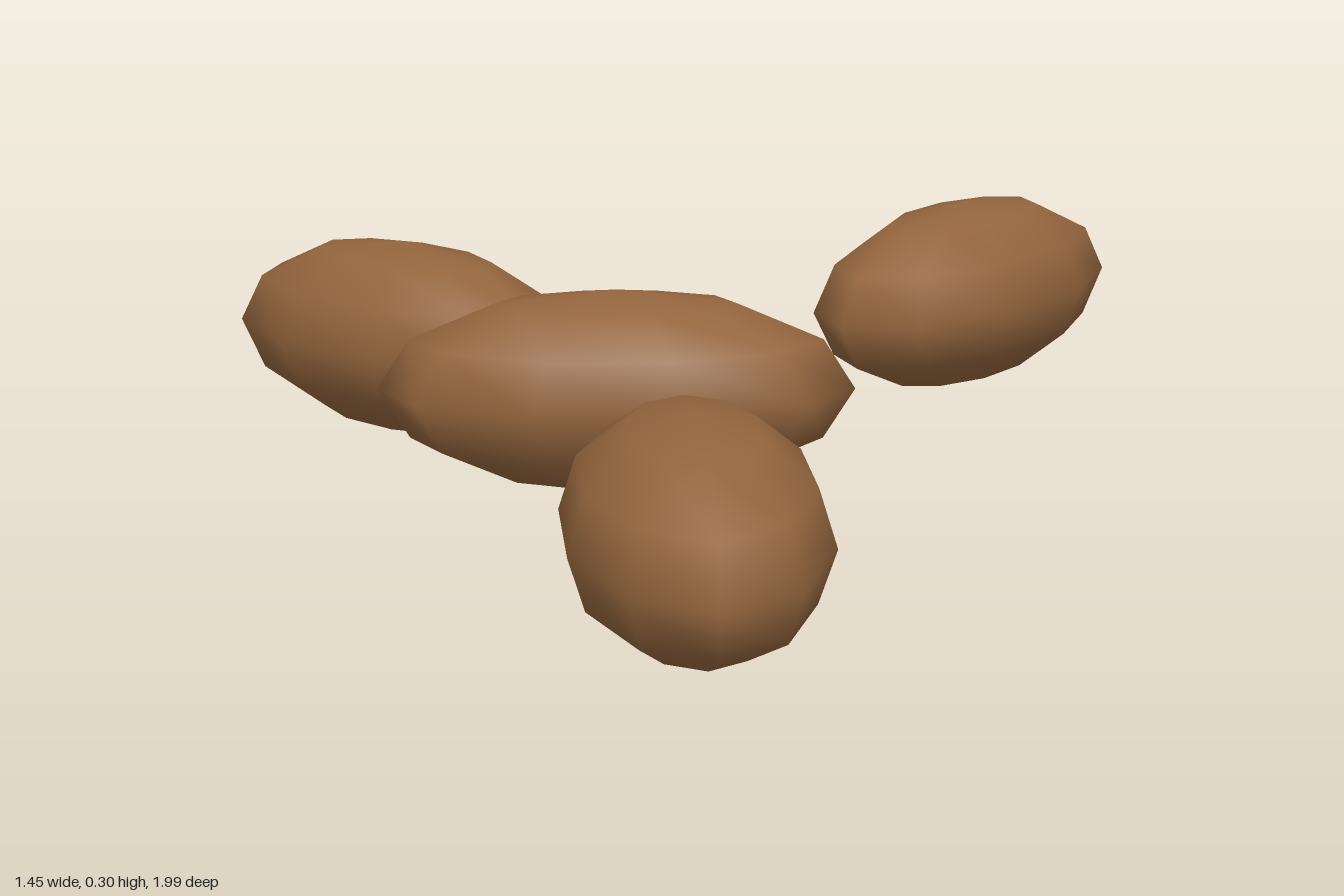
import * as THREE from 'three';

// Each nugget: centre [x, z] and two half-axis vectors of its oval plan, [x, z]
const NUGGETS = [
  { name: 'frontNugget', centre: [-0.002, 0.65], p: [0.029, 0.344], q: [0.178, -0.018] },
  { name: 'middleNugget', centre: [-0.113, -0.055], p: [0.357, 0.002], q: [0.011, -0.17] },
  { name: 'rightNugget', centre: [-0.452, -0.395], p: [-0.278, -0.115], q: [0.047, 0.224] },
  { name: 'backLeftNugget', centre: [0.464, -0.712], p: [0.26, -0.17], q: [0.018, -0.248] },
];
const CENTRE_Y = 0.157;
const HALF_HEIGHT = 0.152;

export function createModel() {
  const group = new THREE.Group();
  group.name = 'nuggets';
  const brown = new THREE.MeshStandardMaterial({ color: 0x93653d });
  brown.name = 'brown';

  for (const { name, centre, p, q } of NUGGETS) {
    // Low-poly ball stretched onto the oval plan
    const stretch = new THREE.Matrix4().makeBasis(
      new THREE.Vector3(-p[0], 0, -p[1]),
      new THREE.Vector3(0, HALF_HEIGHT, 0),
      new THREE.Vector3(q[0], 0, q[1]),
    );
    const nugget = new THREE.Mesh(new THREE.SphereGeometry(1, 10, 6).applyMatrix4(stretch), brown);
    nugget.name = name;
    nugget.position.set(centre[0], CENTRE_Y, centre[1]);
    group.add(nugget);
  }
  return group;
}
